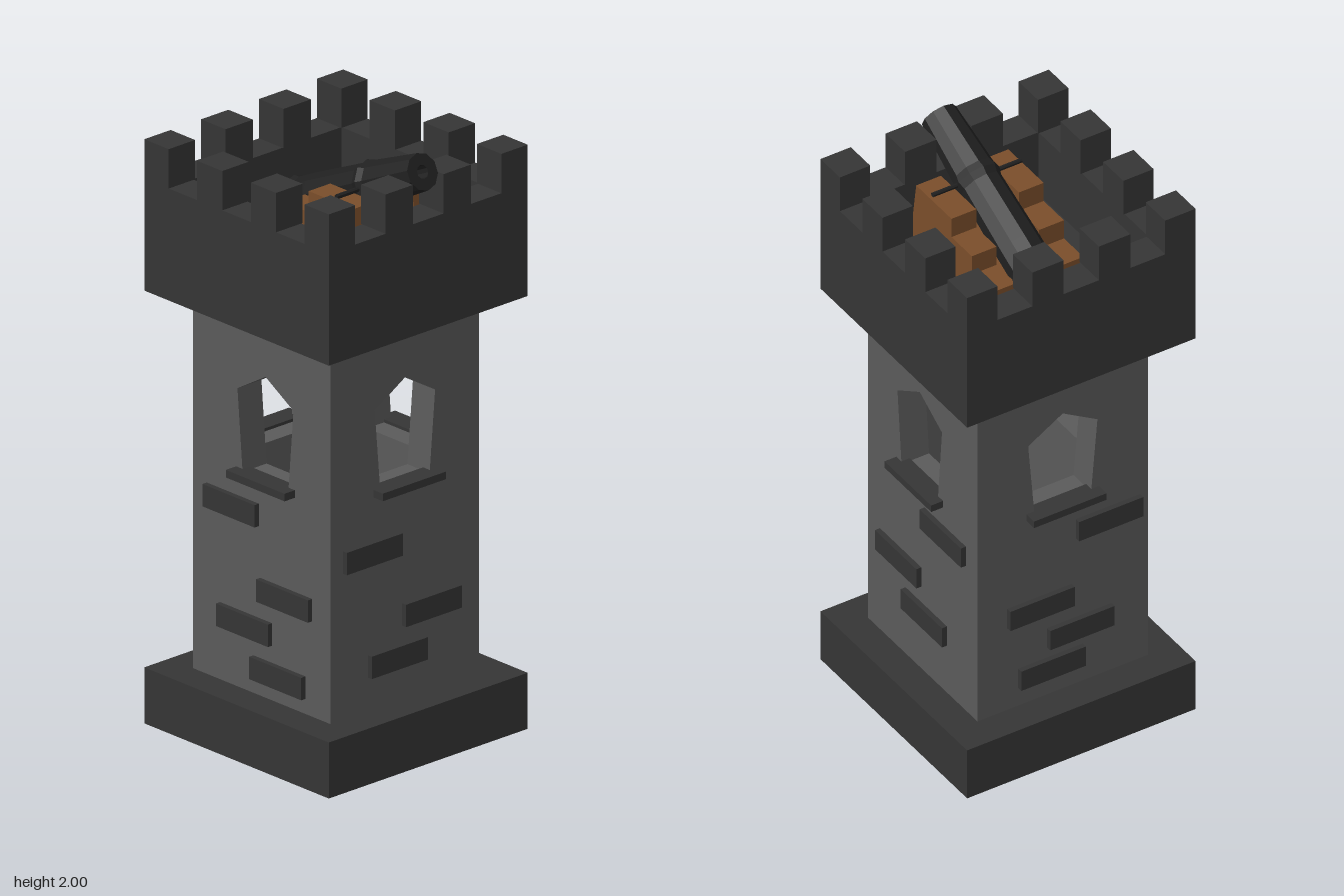
import * as THREE from 'three';

const mat = (color) => new THREE.MeshStandardMaterial({ color, flatShading: true });
const STONE = mat(0x5a5a5a);
const DARK = mat(0x353535);
const WOOD = mat(0x7a4e2a);
const IRON = mat(0x202020);

const OUT = 0.415;    // half width of base and crown
const SHAFT = 0.31;   // half width of shaft
const WALL = 0.1;     // shaft wall thickness
const BASE_TOP = 0.185, CROWN_Y = 1.43, FLOOR_Y = 1.56, PARAPET_Y = 1.8, MERLON_Y = 1.93;

function add(parent, name, geometry, material, x = 0, y = 0, z = 0) {
  const mesh = new THREE.Mesh(geometry, material);
  mesh.name = name;
  mesh.position.set(x, y, z);
  parent.add(mesh);
  return mesh;
}

// Box given by its limits on each axis
function box(parent, name, material, [x0, x1], [y0, y1], [z0, z1]) {
  return add(parent, name, new THREE.BoxGeometry(x1 - x0, y1 - y0, z1 - z0), material,
    (x0 + x1) / 2, (y0 + y1) / 2, (z0 + z1) / 2);
}

const polygon = (Type, pts) => new Type(pts.map(([x, y]) => new THREE.Vector2(x, y)));
const square = (h) => [[-h, -h], [h, -h], [h, h], [-h, h]];
const extrude = (shape, depth) => new THREE.ExtrudeGeometry(shape, { depth, bevelEnabled: false });

// One shaft side facing +z: wall with pointed window, sill and raised bricks
function createSide(name, halfWidth, windowX, bricks) {
  const side = new THREE.Group();
  side.name = name;
  const shape = polygon(THREE.Shape, [
    [-halfWidth, BASE_TOP], [halfWidth, BASE_TOP], [halfWidth, CROWN_Y], [-halfWidth, CROWN_Y]]);
  shape.holes.push(polygon(THREE.Path, [
    [-0.103, 0.9], [-0.126, 1.17], [0, 1.245], [0.126, 1.17], [0.103, 0.9],
  ].map(([x, y]) => [x + windowX, y])));
  add(side, 'wall', extrude(shape, WALL), STONE, 0, 0, SHAFT - WALL);
  box(side, 'windowSill', DARK, [windowX - 0.132, windowX + 0.132], [0.885, 0.91], [SHAFT - 0.03, 0.353]);
  for (const [x, y] of bricks) {
    box(side, 'brick', DARK, [x - 0.117, x + 0.117], [y - 0.037, y + 0.037], [SHAFT - 0.02, 0.328]);
  }
  return side;
}

function createCrown() {
  const crown = new THREE.Group();
  crown.name = 'crown';
  box(crown, 'crownFloor', DARK, [-OUT, OUT], [CROWN_Y, FLOOR_Y], [-OUT, OUT]);
  const ring = polygon(THREE.Shape, square(OUT));
  ring.holes.push(polygon(THREE.Path, square(SHAFT)));
  add(crown, 'parapet', extrude(ring, PARAPET_Y - FLOOR_Y).rotateX(-Math.PI / 2), DARK, 0, FLOOR_Y, 0);

  // Four merlons per side, corners shared
  const spans = [[-OUT, -0.305], [-0.178, -0.064], [0.064, 0.178], [0.305, OUT]];
  spans.forEach((sx, i) => spans.forEach((sz, j) => {
    if (i % 3 === 0 || j % 3 === 0) box(crown, 'merlon', DARK, sx, [PARAPET_Y, MERLON_Y], sz);
  }));
  return crown;
}

function createCarriage() {
  const carriage = new THREE.Group();
  carriage.name = 'carriage';
  // Stepped cheek profile in (z, y), rising towards the muzzle
  const profile = polygon(THREE.Shape, [
    [-0.285, FLOOR_Y], [0.295, FLOOR_Y], [0.255, 1.83], [0.055, 1.83], [0.055, 1.76],
    [-0.06, 1.76], [-0.06, 1.69], [-0.17, 1.69], [-0.17, 1.62], [-0.285, 1.62]]);
  for (const x of [0.17, -0.075]) {
    add(carriage, 'cheek', extrude(profile, 0.09).rotateY(-Math.PI / 2), WOOD, x, 0, 0);
  }
  box(carriage, 'bed', WOOD, [-0.075, 0.08], [FLOOR_Y, 1.61], [-0.275, 0.25]);
  return carriage;
}

function createCannon() {
  const cannon = new THREE.Group();
  cannon.name = 'cannon';
  // Profile from the breech knob to the muzzle, then back down the bore
  const profile = [
    [0, -0.72], [0.014, -0.715], [0.007, -0.66], [0.035, -0.655], [0.07, -0.625],
    [0.084, -0.6], [0.075, -0.58], [0.075, -0.5], [0.07, -0.265], [0.078, -0.24],
    [0.071, -0.215], [0.06, 0], [0.022, 0], [0.022, -0.1], [0, -0.1],
  ].map(([r, y]) => new THREE.Vector2(r, y));
  add(cannon, 'barrel', new THREE.LatheGeometry(profile, 10), IRON);
  const trunnion = new THREE.CylinderGeometry(0.008, 0.008, 0.322, 8).rotateZ(Math.PI / 2);
  add(cannon, 'trunnion', trunnion, IRON, 0, -0.237, 0);
  cannon.position.set(0.003, 1.946, 0.386);
  cannon.rotation.x = THREE.MathUtils.degToRad(64.5);
  return cannon;
}

export function createModel() {
  const tower = new THREE.Group();
  tower.name = 'tower';
  box(tower, 'base', DARK, [-OUT, OUT], [0, BASE_TOP], [-OUT, OUT]);

  // Name, turn, half width, window offset, brick centres
  const inner = SHAFT - WALL;
  const sides = [
    ['frontSide', 0, SHAFT, 0, [[-0.142, 0.705], [0.105, 0.465], [-0.038, 0.333]]],
    ['backSide', Math.PI, SHAFT, 0, [[0.165, 0.78], [-0.085, 0.537], [0.06, 0.403], [-0.045, 0.29]]],
    ['leftSide', Math.PI / 2, inner, -0.017, [[0.127, 0.78], [-0.125, 0.537], [0.02, 0.403]]],
    ['rightSide', -Math.PI / 2, inner, 0.017, [[-0.13, 0.78], [0.11, 0.537], [-0.07, 0.403], [0.08, 0.272]]],
  ];
  for (const [name, turn, halfWidth, windowX, bricks] of sides) {
    const side = createSide(name, halfWidth, windowX, bricks);
    side.rotation.y = turn;
    tower.add(side);
  }

  tower.add(createCrown(), createCarriage(), createCannon());
  return tower;
}
